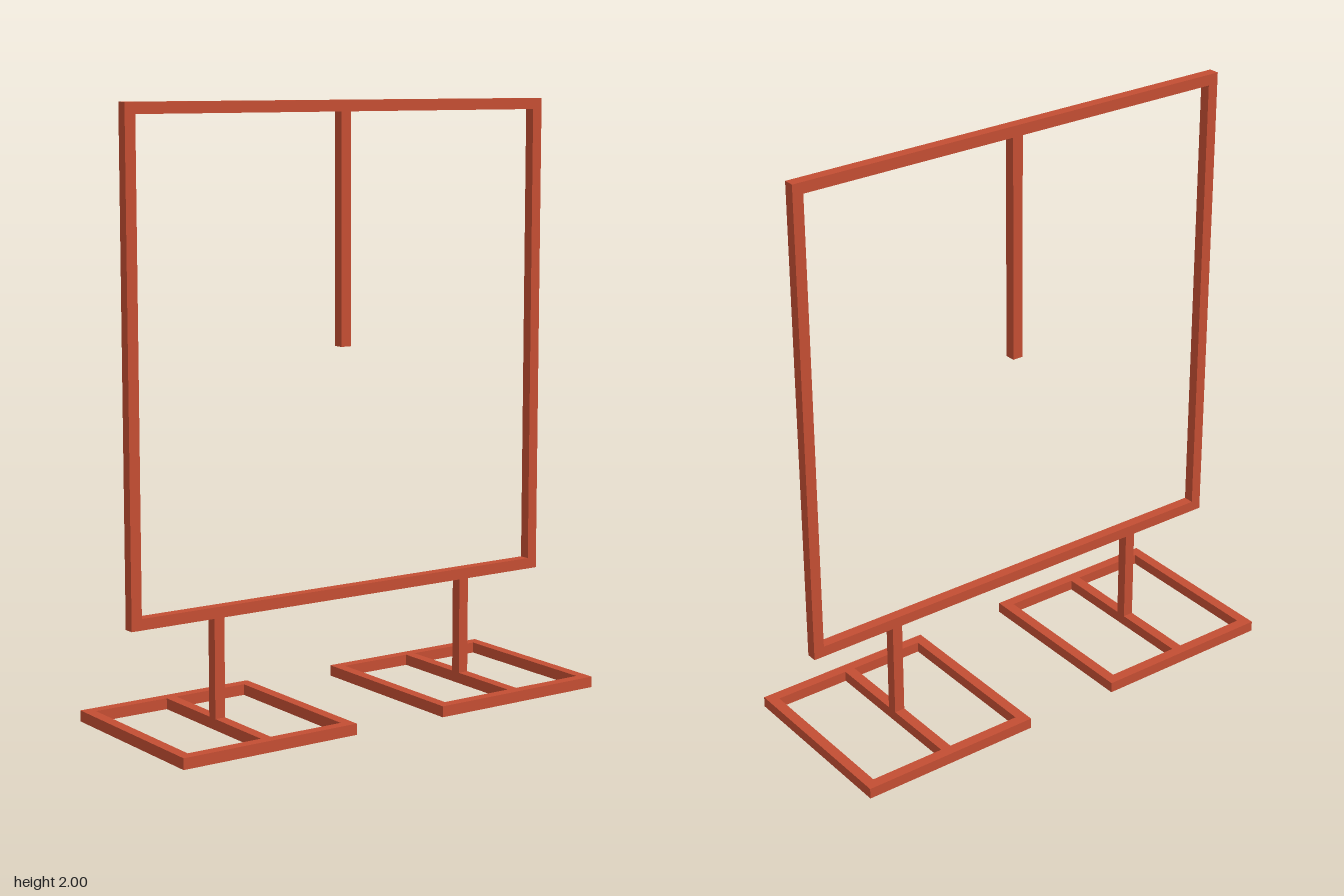
import * as THREE from 'three';

export function createModel() {
  const model = new THREE.Group();
  model.name = 'frameStand';
  const rust = new THREE.MeshStandardMaterial({ color: 0xc44e33 });
  rust.name = 'rustRed';

  const T = 0.037;                      // thickness of every square bar
  const TOP = 2, LOW = 0.366;           // top and underside of the upright frame
  const OUT = 0.817, IN = 0.173;        // outer and inner x of each foot
  const DEPTH = 0.321;                  // half depth of each foot
  const POST_X = (OUT + IN) / 2;

  // Box bar given by its minimum and maximum corners
  function bar(parent, name, [x0, y0, z0], [x1, y1, z1]) {
    const mesh = new THREE.Mesh(new THREE.BoxGeometry(x1 - x0, y1 - y0, z1 - z0), rust);
    mesh.position.set((x0 + x1) / 2, (y0 + y1) / 2, (z0 + z1) / 2);
    mesh.name = name;
    parent.add(mesh);
  }

  const h = T / 2;

  // Upright frame with a short bar hanging from its top rail
  const frame = new THREE.Group();
  frame.name = 'uprightFrame';
  bar(frame, 'topRail', [-OUT + T, TOP - T, -h], [OUT - T, TOP, h]);
  bar(frame, 'bottomRail', [-OUT + T, LOW, -h], [OUT - T, LOW + T, h]);
  bar(frame, 'leftStile', [OUT - T, LOW, -h], [OUT, TOP, h]);
  bar(frame, 'rightStile', [-OUT, LOW, -h], [-OUT + T, TOP, h]);
  bar(frame, 'hangingBar', [-h, 1.203, -h], [h, TOP - T, h]);
  model.add(frame);

  // Two flat rectangular feet, each with a middle bar carrying a post
  for (const side of [-1, 1]) {
    const foot = new THREE.Group();
    foot.name = side > 0 ? 'leftFoot' : 'rightFoot';
    const c = side * POST_X, w = (OUT - IN) / 2;
    bar(foot, 'frontRail', [c - w, 0, DEPTH - T], [c + w, T, DEPTH]);
    bar(foot, 'backRail', [c - w, 0, -DEPTH], [c + w, T, -DEPTH + T]);
    for (const [name, x] of [['sideRail', -w + h], ['middleRail', 0], ['sideRail', w - h]]) {
      bar(foot, name, [c + x - h, 0, -DEPTH + T], [c + x + h, T, DEPTH - T]);
    }
    bar(foot, 'post', [c - h, T, -h], [c + h, LOW, h]);
    model.add(foot);
  }

  return model;
}
